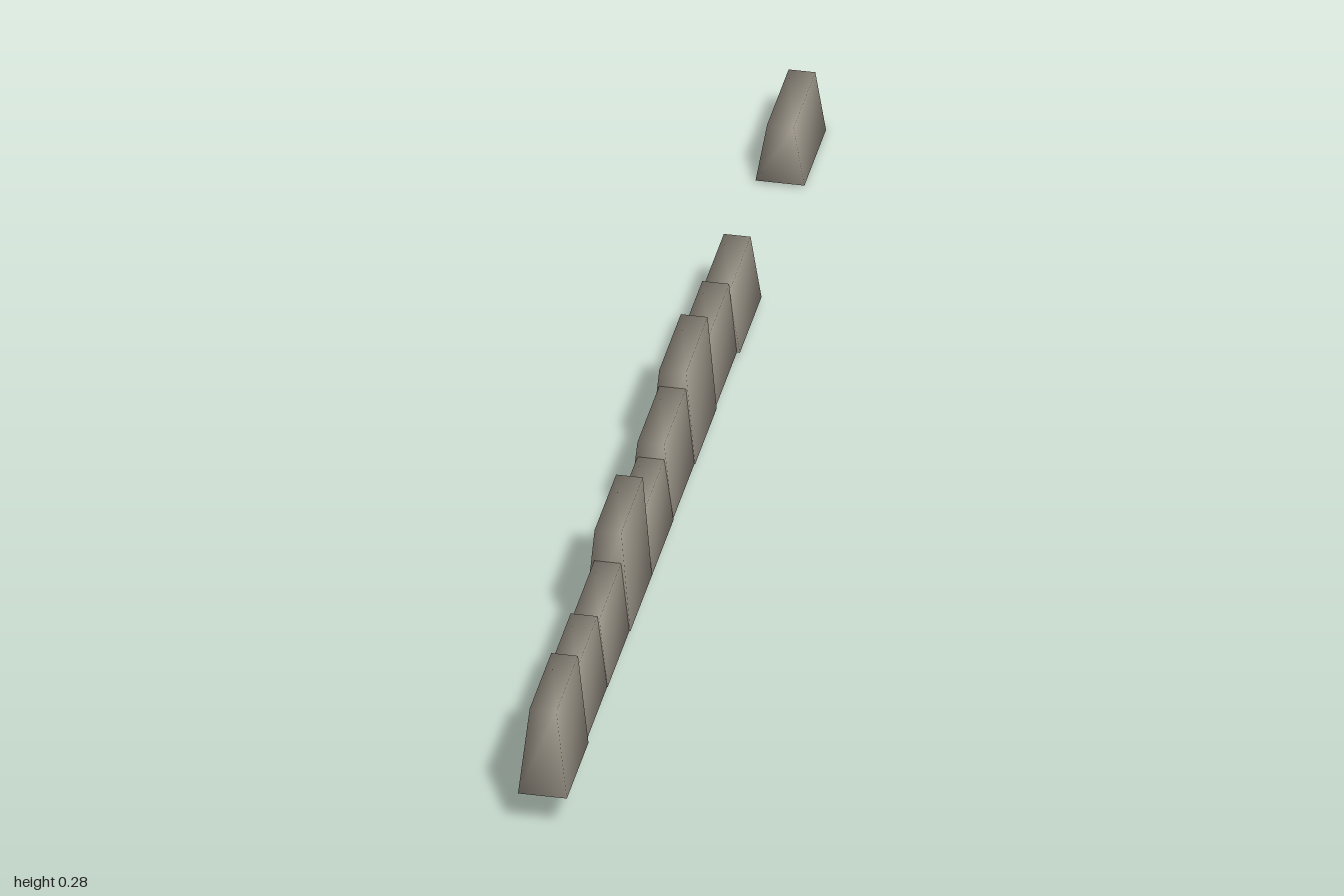
import * as THREE from 'three';
import { mergeVertices } from 'three/addons/utils/BufferGeometryUtils.js';

const SLOT = 0.2132; // length of one block
const SLOTS = 12;    // slots along the row, two of them left empty
const TOP_WIDTH = 0.052;

// slot, height, base width, sideways shift
const BLOCKS = [
  [0, 0.19, 0.095, 0],
  [1, 0.154, 0.092, -0.004],
  [2, 0.148, 0.086, 0],
  [3, 0.215, 0.09, 0],
  [4, 0.131, 0.09, 0],
  [5, 0.164, 0.087, 0],
  [6, 0.2, 0.09, 0],
  [7, 0.15, 0.084, 0],
  [8, 0.131, 0.096, 0],
  [11, 0.125, 0.095, 0],
];

// Block that narrows towards its top, with soft shared-corner normals
function taperedBlock(height, width) {
  let geo = new THREE.BoxGeometry(SLOT, height, 1);
  geo.translate(0, height / 2, 0);
  const p = geo.attributes.position;
  for (let i = 0; i < p.count; i++) {
    p.setZ(i, p.getZ(i) * (p.getY(i) > height / 2 ? TOP_WIDTH : width));
  }
  geo.deleteAttribute('normal');
  geo.deleteAttribute('uv');
  geo = mergeVertices(geo);
  geo.computeVertexNormals();
  return geo;
}

export function createModel() {
  const stone = new THREE.MeshStandardMaterial({ color: 0x9a9488 });
  stone.name = 'weathered stone';

  // Diagonal row on a gentle slope
  const row = new THREE.Group();
  row.name = 'ruinedWall';
  for (const [slot, height, width, shift] of BLOCKS) {
    const mesh = new THREE.Mesh(taperedBlock(height, width), stone);
    mesh.name = 'wallBlock' + (slot + 1);
    mesh.position.set((slot - (SLOTS - 1) / 2) * SLOT, 0, shift);
    row.add(mesh);
  }
  row.rotation.set(0, 0.714, -0.0315);
  row.position.y = 0.0403;

  const model = new THREE.Group();
  model.name = 'brokenWall';
  model.add(row);
  return model;
}
